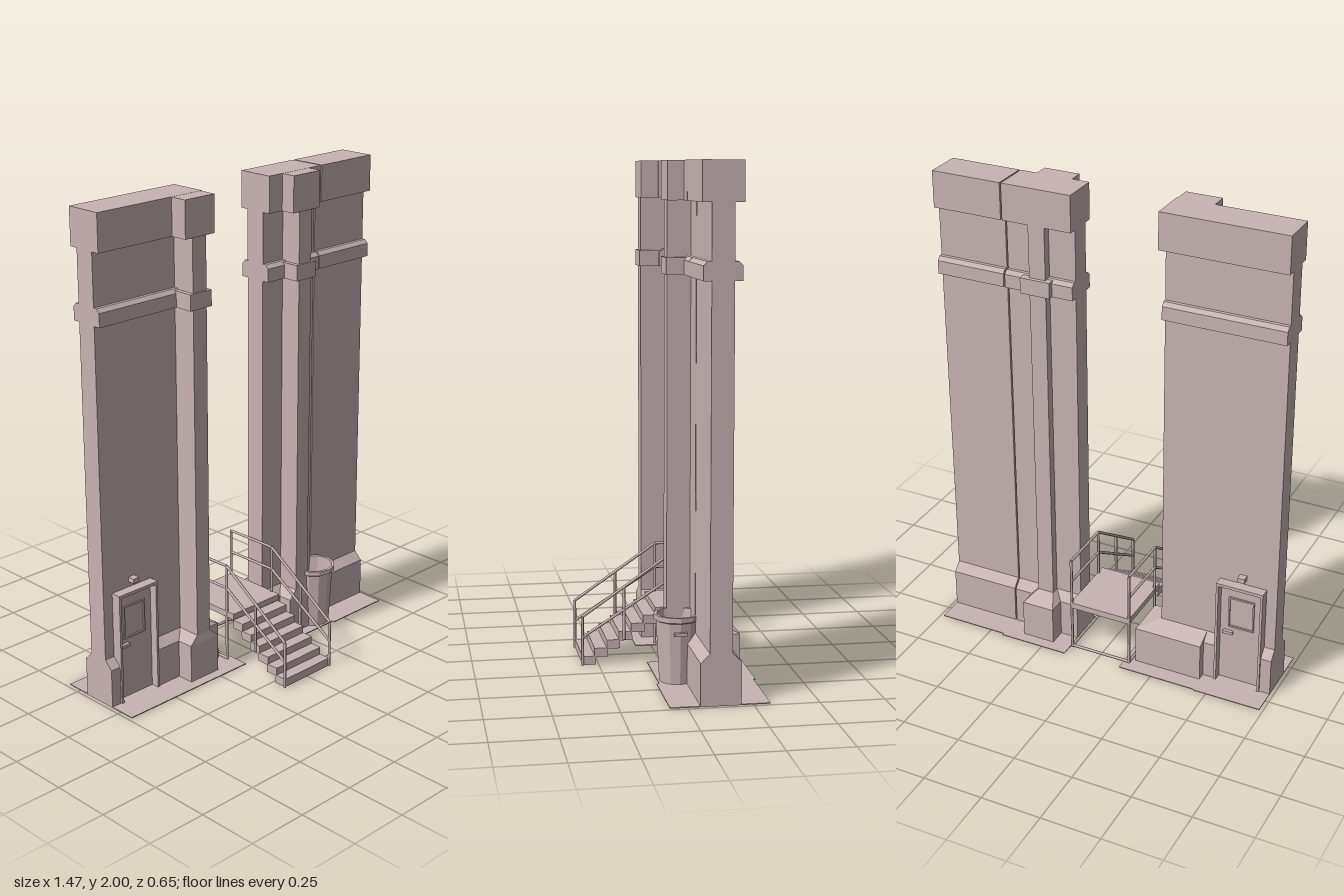
import * as THREE from 'three';

export function createModel() {
  const model = new THREE.Group();
  const stone = new THREE.MeshStandardMaterial({ color: 0xc8b3b3, side: THREE.DoubleSide });
  stone.name = 'pale pink stone';

  const group = (name, parent = model) => {
    const g = new THREE.Group();
    g.name = name;
    parent.add(g);
    return g;
  };
  const add = (parent, name, geo) => {
    const m = new THREE.Mesh(geo, stone);
    m.name = name;
    parent.add(m);
    return m;
  };
  // box from its limits
  const box = (parent, name, x0, x1, y0, y1, z0, z1) => {
    const g = new THREE.BoxGeometry(x1 - x0, y1 - y0, z1 - z0);
    g.translate((x0 + x1) / 2, (y0 + y1) / 2, (z0 + z1) / 2);
    return add(parent, name, g);
  };
  // box whose bottom and top rectangles [x0, x1, z0, z1] differ
  const taper = (parent, name, low, high, y0, y1) => {
    const g = new THREE.BoxGeometry(1, 1, 1).toNonIndexed();
    const p = g.attributes.position;
    for (let i = 0; i < p.count; i++) {
      const top = p.getY(i) > 0, r = top ? high : low;
      p.setXYZ(i, p.getX(i) < 0 ? r[0] : r[1], top ? y1 : y0, p.getZ(i) < 0 ? r[2] : r[3]);
    }
    g.computeVertexNormals();
    return add(parent, name, g);
  };
  // plinth with a sloped shoulder
  const plinth = (parent, name, low, high) => {
    box(parent, name, low[0], low[1], 0, 0.165, low[2], low[3]);
    taper(parent, name + 'Shoulder', low, high, 0.165, 0.2);
  };
  const rod = (parent, name, a, b, r = 0.006) => {
    const A = new THREE.Vector3(...a), B = new THREE.Vector3(...b), d = B.clone().sub(A);
    const m = add(parent, name, new THREE.CylinderGeometry(r, r, d.length(), 6));
    m.position.copy(A).add(B).multiplyScalar(0.5);
    m.quaternion.setFromUnitVectors(new THREE.Vector3(0, 1, 0), d.normalize());
  };
  // wall length with cap and band
  const wall = (parent, x0, x1, coreEnd = x1) => {
    box(parent, 'wall', x0, coreEnd, 0, 1.86, -0.17, -0.085);
    box(parent, 'wallCap', x0, x1, 1.85, 2, -0.205, -0.05);
    box(parent, 'wallBand', x0, coreEnd, 1.57, 1.625, -0.2, -0.055);
    taper(parent, 'wallBandTop', [x0, coreEnd, -0.2, -0.055], [x0, coreEnd, -0.185, -0.07], 1.625, 1.64);
  };
  // front pilaster centred on x = c
  const pilaster = (parent, c, zf) => {
    box(parent, 'pilasterShaft', c - 0.035, c + 0.035, 0, 1.86, -0.12, zf - 0.005);
    box(parent, 'pilasterCap', c - 0.075, c + 0.075, 1.85, 1.9995, -0.2, zf);
    box(parent, 'pilasterBand', c - 0.055, c + 0.055, 1.57, 1.635, -0.12, zf + 0.002);
    plinth(parent, 'pilasterBase', [c - 0.075, c + 0.075, -0.12, zf],
      [c - 0.035, c + 0.035, -0.12, zf - 0.005]);
  };

  // left tower, with its side buttress
  const left = group('leftTower');
  box(left, 'groundPlate', -0.735, -0.445, 0, 0.004, -0.315, 0.065);
  box(left, 'groundPlateInner', -0.445, -0.107, 0, 0.004, -0.31, 0.065);
  wall(left, -0.735, -0.22, -0.235);
  pilaster(left, -0.3, 0.022);
  plinth(left, 'wallBaseOuter', [-0.735, -0.69, -0.205, -0.05], [-0.735, -0.69, -0.17, -0.085]);
  plinth(left, 'wallBaseInner', [-0.49, -0.3, -0.205, -0.05], [-0.49, -0.3, -0.17, -0.085]);
  plinth(left, 'buttressBase', [-0.44, -0.15, -0.24, -0.055], [-0.44, -0.235, -0.17, -0.085]);

  // doors on both faces of the left tower
  for (const s of [1, -1]) {
    const door = group(s > 0 ? 'frontDoor' : 'backDoor', left);
    door.position.set(-0.59, 0, s > 0 ? -0.085 : -0.17);
    if (s < 0) door.rotation.y = Math.PI;
    for (const x of [-0.1, 0.09]) box(door, 'doorJamb', x, x + 0.01, 0, 0.475, 0, 0.042);
    box(door, 'doorLintel', -0.1, 0.1, 0.462, 0.475, 0, 0.042);
    box(door, 'doorPanel', -0.09, 0.09, 0.004, 0.462, 0, 0.008);
    box(door, 'windowTop', -0.055, 0.055, 0.398, 0.405, 0.008, 0.014);
    box(door, 'windowSill', -0.055, 0.055, 0.262, 0.269, 0.008, 0.014);
    for (const x of [-0.055, 0.049]) box(door, 'windowSide', x, x + 0.006, 0.262, 0.405, 0.008, 0.014);
    box(door, 'doorHandle', -0.075, -0.033, 0.229, 0.242, 0.008, 0.022);
    box(door, 'doorLamp', -0.015, 0.015, 0.497, 0.517, 0, 0.03);
  }

  // right tower: two lengths with a narrow joint, and a back pilaster
  const right = group('rightTower');
  box(right, 'groundPlateInner', 0.14, 0.437, 0, 0.004, -0.325, 0.055);
  box(right, 'groundPlate', 0.437, 0.735, 0, 0.004, -0.315, 0.065);
  for (const [a, b] of [[0.14, 0.434], [0.44, 0.735]]) {
    wall(right, a, b);
    plinth(right, 'wallBase', [a, b, -0.205, -0.05], [a, b, -0.17, -0.085]);
  }
  pilaster(right, 0.288, 0.012);
  box(right, 'backPilasterShaft', 0.253, 0.323, 0, 1.86, -0.205, -0.12);
  box(right, 'backPilasterBand', 0.228, 0.355, 1.57, 1.635, -0.222, -0.12);
  plinth(right, 'backPilasterBase', [0.218, 0.358, -0.278, -0.12], [0.253, 0.323, -0.205, -0.12]);

  // stairs and landing
  const stairs = group('stairs');
  for (let i = 0; i < 6; i++) {
    const y = 0.035 + i * 0.032, z = 0.315 - i * 0.049;
    box(stairs, 'step', -0.13, 0.13, Math.max(0, y - 0.036), y, z - 0.054, z);
  }
  box(stairs, 'landing', -0.135, 0.135, 0.2, 0.226, -0.27, 0.022);
  for (const x of [-0.132, 0.132]) {
    for (const [y0, y1] of [[0.2, 0.43], [0.115, 0.33]]) {
      rod(stairs, 'slopedRail', [x, y0, 0.315], [x, y1, -0.02]);
      rod(stairs, 'landingRail', [x, y1, -0.02], [x, y1, -0.265]);
    }
    rod(stairs, 'bottomPost', [x, 0, 0.315], [x, 0.2, 0.315]);
    rod(stairs, 'middlePost', [x, 0.1, 0.147], [x, 0.315, 0.147]);
    for (const z of [-0.02, -0.265]) rod(stairs, 'landingPost', [x, 0, z], [x, 0.43, z]);
    rod(stairs, 'footBar', [x, 0.008, -0.02], [x, 0.008, -0.265]);
  }
  rod(stairs, 'backFootBar', [-0.132, 0.008, -0.265], [0.132, 0.008, -0.265]);

  // open bin by the right pilaster
  const bin = group('bin');
  bin.position.set(0.392, 0, -0.022);
  const profile = [[0, 0.004], [0.07, 0.004], [0.083, 0.245], [0.092, 0.25], [0.092, 0.27],
    [0.08, 0.27], [0.074, 0.2], [0, 0.2]].map(p => new THREE.Vector2(...p));
  const shell = new THREE.LatheGeometry(profile, 12).toNonIndexed();
  shell.computeVertexNormals();
  add(bin, 'binShell', shell);
  for (const s of [1, -1]) box(bin, 'binHandle', s * 0.085 - 0.008, s * 0.085 + 0.008, 0.2, 0.212, -0.025, 0.025);

  return model;
}
